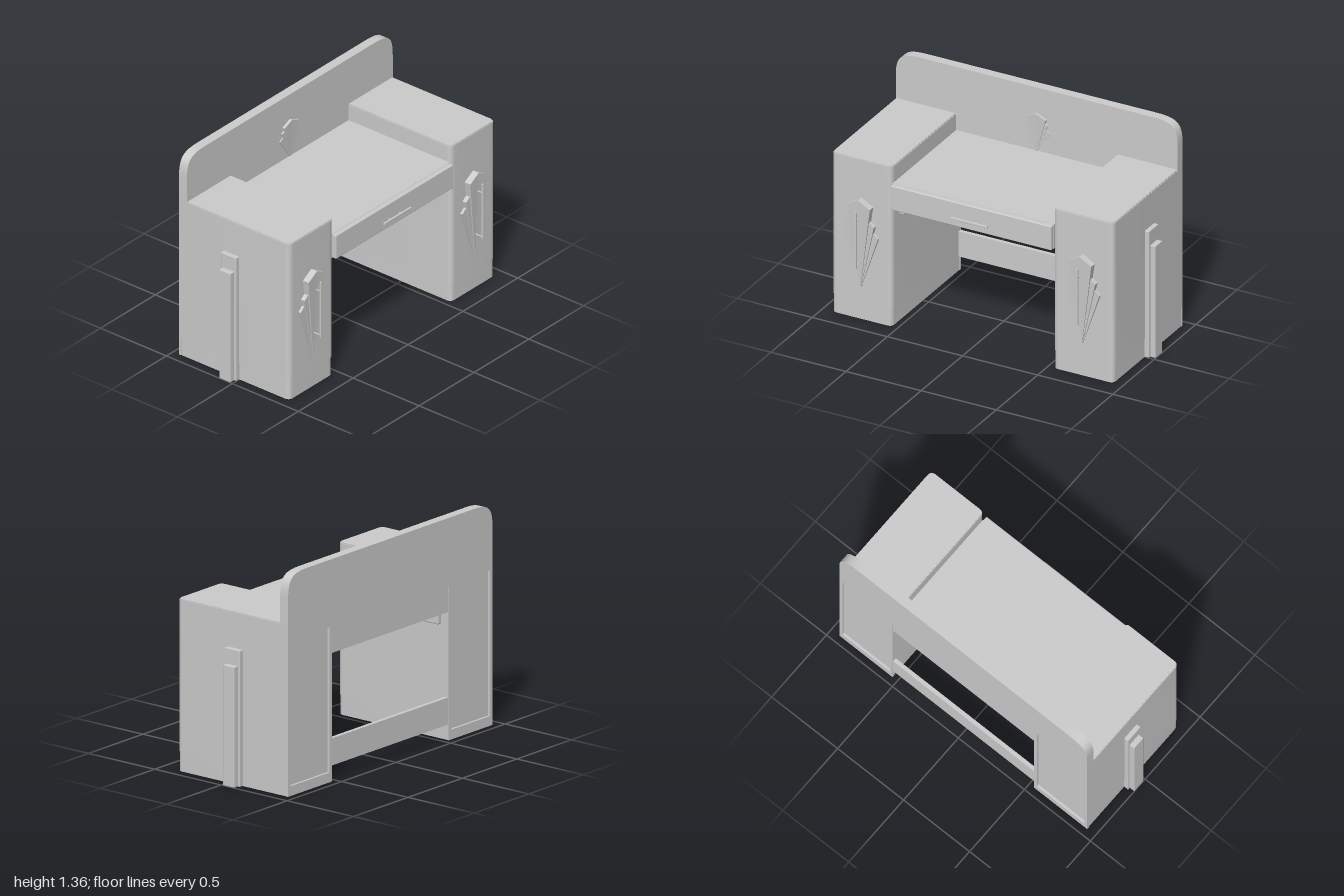
import * as THREE from 'three';
import { toCreasedNormals } from 'three/addons/utils/BufferGeometryUtils.js';
import { RoundedBoxGeometry } from 'three/addons/geometries/RoundedBoxGeometry.js';

const mat = new THREE.MeshStandardMaterial({ color: 0xcccccc });

function add(parent, name, geometry, x = 0, y = 0, z = 0) {
  const mesh = new THREE.Mesh(geometry, mat);
  mesh.name = name;
  mesh.position.set(x, y, z);
  parent.add(mesh);
  return mesh;
}

// Box given by its min and max on each axis
function box(parent, name, [x0, x1], [y0, y1], [z0, z1], r = 0) {
  const size = [x1 - x0, y1 - y0, z1 - z0];
  const geo = r ? new RoundedBoxGeometry(...size, 2, r) : new THREE.BoxGeometry(...size);
  return add(parent, name, geo, (x0 + x1) / 2, (y0 + y1) / 2, (z0 + z1) / 2);
}

function extrude(shape, depth, options = {}) {
  const geo = new THREE.ExtrudeGeometry(shape, { depth, bevelEnabled: false, curveSegments: 12, ...options });
  return toCreasedNormals(geo, 0.6);
}

// Floor plan of a pedestal: square at the back, rounded at the front
function pedestalPlan(w, back, front, r) {
  const s = new THREE.Shape();
  s.moveTo(-w, -back);
  s.lineTo(-w, -front + r);
  s.quadraticCurveTo(-w, -front, -w + r, -front);
  s.lineTo(w - r, -front);
  s.quadraticCurveTo(w, -front, w, -front + r);
  s.lineTo(w, -back);
  s.closePath();
  return s;
}

function pedestalBlock(w, back, front, r, y0, y1) {
  const geo = extrude(pedestalPlan(w, back, front, r), y1 - y0);
  return geo.rotateX(-Math.PI / 2).translate(0, y0, 0);
}

// Kite-shaped plate, thick at the shoulder and thin at the lower tip
function kite(halfWidth, top, shoulder, tip, thick, thin) {
  const s = new THREE.Shape([
    new THREE.Vector2(0, top), new THREE.Vector2(-halfWidth, shoulder),
    new THREE.Vector2(0, tip), new THREE.Vector2(halfWidth, shoulder),
  ]);
  const geo = new THREE.ExtrudeGeometry(s, { depth: 1, bevelEnabled: false });
  const p = geo.attributes.position;
  for (let i = 0; i < p.count; i++) {
    const t = Math.min(1, (p.getY(i) - tip) / (shoulder - tip));
    p.setZ(i, p.getZ(i) * (thin + (thick - thin) * t));
  }
  geo.computeVertexNormals();
  return geo;
}

function sunburst(name, layers) {
  const g = new THREE.Group();
  g.name = name;
  layers.forEach((l, i) => add(g, `burstLayer${i + 1}`, kite(...l)));
  return g;
}

function rod(parent, name, x, y, z0, z1, r) {
  const geo = new THREE.CylinderGeometry(r, r, z1 - z0, 12).rotateX(Math.PI / 2);
  return add(parent, name, geo, x, y, (z0 + z1) / 2);
}

function createPedestal(side) {
  const g = new THREE.Group();
  g.name = side > 0 ? 'leftPedestal' : 'rightPedestal';
  g.position.x = side * 0.737;
  const w = 0.201;
  add(g, 'pedestalBody', pedestalBlock(w, -0.44, 0.38, 0.035, 0.12, 1.045));
  add(g, 'pedestalTop', pedestalBlock(w - 0.004, -0.44, 0.376, 0.032, 1.045, 1.05));
  add(g, 'plinth', pedestalBlock(w - 0.002, -0.44, 0.377, 0.034, 0, 0.12));

  // Raised frame around the recessed back panel
  const frame = new THREE.Shape([[-w, 0], [w, 0], [w, 1.045], [-w, 1.045]].map(p => new THREE.Vector2(...p)));
  frame.holes.push(new THREE.Path([[-0.18, 0.06], [-0.18, 0.945], [0.18, 0.945], [0.18, 0.06]].map(p => new THREE.Vector2(...p))));
  add(g, 'backFrame', extrude(frame, 0.015), 0, 0, -0.455);

  // Stepped pilaster on the outer side
  const along = (a, b) => [a, b].map(v => side * v).sort((p, q) => p - q);
  box(g, 'pilasterBack', along(0.195, 0.229), [0, 0.83], [-0.115, 0], 0.004);
  box(g, 'pilasterFront', along(0.22, 0.263), [0, 0.735], [-0.1, -0.015], 0.004);

  // Layered ornament and door pull
  const burst = sunburst('doorOrnament', [
    [0.077, 0.8, 0.755, 0.225, 0.045, 0.014],
    [0.095, 0.71, 0.635, 0.222, 0.029, 0.01],
    [0.117, 0.665, 0.56, 0.218, 0.018, 0.006],
  ]);
  burst.position.z = 0.379;
  g.add(burst);
  box(g, 'doorPull', [-0.006, 0.006], [0.365, 0.737], [0.447, 0.458], 0.002);
  for (const y of [0.378, 0.675]) rod(g, 'pullPost', 0, y, 0.38, 0.45, 0.004);
  return g;
}

export function createModel() {
  const desk = new THREE.Group();
  desk.name = 'desk';

  for (const side of [-1, 1]) {
    desk.add(createPedestal(side));
    // Drawer runner on the inner side
    const [a, b] = [side * 0.505, side * 0.54].sort((p, q) => p - q);
    box(desk, 'drawerRunner', [a, b], [0.7, 0.77], [-0.4, 0.29], 0.008);
  }

  // Desk section with its drawer
  box(desk, 'deskSection', [-0.537, 0.537], [0.78, 0.94], [-0.45, 0.37]);
  box(desk, 'drawerFront', [-0.535, 0.535], [0.78, 0.938], [0.33, 0.4], 0.006);
  box(desk, 'drawerHandle', [-0.122, 0.122], [0.831, 0.847], [0.414, 0.426], 0.003);
  for (const x of [-0.055, 0.04]) rod(desk, 'handlePost', x, 0.839, 0.395, 0.418, 0.004);

  // Lower rail between the pedestals
  box(desk, 'backRail', [-0.537, 0.537], [0.095, 0.26], [-0.45, -0.425]);

  // Backboard with rounded upper corners, dropping down between the pedestals
  const s = new THREE.Shape();
  s.moveTo(-0.536, 0.938);
  s.lineTo(0.536, 0.938);
  s.lineTo(0.536, 1.02);
  s.lineTo(0.938, 1.02);
  s.lineTo(0.938, 1.2);
  s.bezierCurveTo(0.938, 1.33, 0.9, 1.355, 0.76, 1.355);
  s.lineTo(-0.76, 1.355);
  s.bezierCurveTo(-0.9, 1.355, -0.938, 1.33, -0.938, 1.2);
  s.lineTo(-0.938, 1.02);
  s.lineTo(-0.536, 1.02);
  s.closePath();
  add(desk, 'backboard', extrude(s, 0.06), 0, 0, -0.456);

  const burst = sunburst('backboardOrnament', [
    [0.068, 1.19, 1.16, 0.935, 0.018, 0.006],
    [0.08, 1.165, 1.125, 0.935, 0.012, 0.004],
    [0.098, 1.14, 1.075, 0.935, 0.007, 0.003],
  ]);
  burst.position.z = -0.396;
  desk.add(burst);

  return desk;
}
